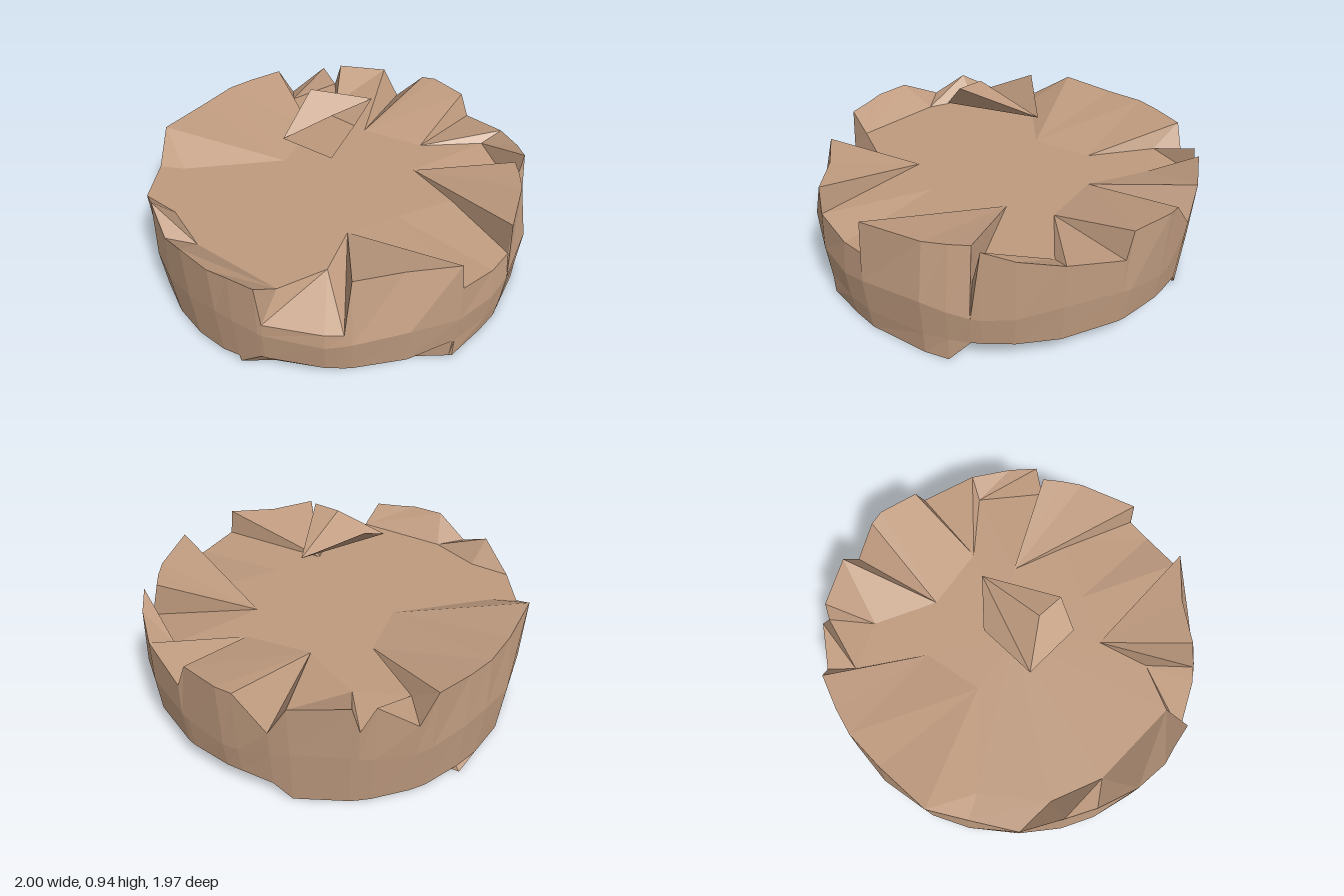
import * as THREE from 'three';

// Points where the rim's wedges run out on the floor
const FLOOR = {
  front: [0.28, 0.29], frontGap: [-0.1, 0.42], frontStep: [0.2, 0.6], tooth: [0.72, 0.47], side: [0.5, 0.2],
  right: [0.45, -0.14], rightNotch: [0.6, -0.45], backNotch: [0.49, -0.69], back: [0.27, -0.38], backMid: [-0.05, -0.33],
  backLeft: [-0.42, -0.72], leftA: [-0.71, -0.5], leftB: [-0.82, -0.24], leftC: [-0.83, 0.25],
  leftGap: [-0.6, 0.36], corner: [-0.34, 0.29],
};

// Rim points round the slab, from the front towards +x:
// [x, z, height, floor point, height of the wall's foot]
const RIM = [
  [0.02, 0.97, 0.61, 'front'], [0.32, 0.88, 0.6, 'front'], [0.42, 0.82, 0.6, 'front'], [0.5, 0.76, 0.6, 'front'],
  [0.51, 0.77, 0.42, 'front'], [0.57, 0.78, 0.61, 'tooth'], [0.69, 0.69, 0.57, 'tooth'],
  [0.83, 0.53, 0.53, 'tooth'], [0.95, 0.26, 0.47, 'side'],
  [0.95, 0.21, 0.6, 'side'], [1, 0, 0.61, 'right'], [0.99, -0.08, 0.6, 'right'],
  [0.97, -0.24, 0.43, 'right', 0.09], [0.95, -0.33, 0.59, 'right', 0], [0.82, -0.57, 0.6, 'rightNotch', 0],
  [0.8, -0.6, 0.47, 'rightNotch', 0], [0.75, -0.65, 0.59, 'backNotch', 0], [0.61, -0.79, 0.44, 'backNotch', 0],
  [0.54, -0.84, 0.6, 'backNotch', 0], [0.36, -0.91, 0.6, 'back', 0.02], [0.22, -0.95, 0.6, 'back', 0.02],
  [0, -0.96, 0.59, 'backMid', 0.02], [-0.31, -0.95, 0.6, 'backMid', 0.01],
  [-0.48, -0.84, 0.48, 'backLeft', 0.02], [-0.7, -0.71, 0.48, 'leftA', 0.07], [-0.82, -0.53, 0.6, 'leftA', 0.05],
  [-0.9, -0.37, 0.51, 'leftB', 0.01], [-0.98, -0.18, 0.6, 'leftB', 0.02], [-1, 0, 0.59, 'leftC', 0.03],
  [-0.98, 0.1, 0.58, 'leftC', 0.05], [-0.96, 0.23, 0.57, 'leftC'],
  [-0.95, 0.25, 0.35, 'leftC'], [-0.83, 0.51, 0.34, 'leftGap'], [-0.78, 0.58, 0.34, 'leftGap'],
  [-0.71, 0.57, 0.61, 'corner'], [-0.52, 0.72, 0.6, 'corner'], [-0.35, 0.91, 0.61, 'corner'],
  [-0.34, 0.92, 0.47, 'corner'], [-0.12, 0.96, 0.43, 'frontGap'], [0.015, 0.97, 0.44, 'frontStep'],
];

// Corners of the flat underside, whose long chords leave undercuts
const BASE = [
  [0.16, 0.96], [0.45, 0.86], [0.36, -0.91], [-0.96, 0.08], [-0.32, 0.92],
];

// Distance from the centre to the underside's edge in direction (dx, dz)
function baseRadius(dx, dz) {
  for (let i = 0; i < BASE.length; i++) {
    const [ax, az] = BASE[i];
    const [bx, bz] = BASE[(i + 1) % BASE.length];
    const ex = bx - ax, ez = bz - az;
    const det = dx * ez - dz * ex;
    const t = (ax * ez - az * ex) / det;
    const u = (ax * dz - az * dx) / det;
    if (t > 0 && u >= -1e-6 && u <= 1 + 1e-6) return t;
  }
  return 0.9;
}

function facetMesh(name, triangles, material) {
  const geometry = new THREE.BufferGeometry();
  geometry.setAttribute('position', new THREE.Float32BufferAttribute(triangles.flat(2), 3));
  geometry.computeVertexNormals();
  const mesh = new THREE.Mesh(geometry, material);
  mesh.name = name;
  return mesh;
}

// One cross-section from underside centre, up the wall, over the rim to the floor centre
function section([x, z, top, floor, foot = 0.115]) {
  const r = Math.hypot(x, z), dx = x / r, dz = z / r;
  const at = (radius, y) => [dx * radius, y, dz * radius];
  const wave = Math.sin(Math.atan2(x, z) * 7);
  const [fx, fz] = FLOOR[floor];
  return [
    [0, 0, 0],
    at(baseRadius(dx, dz), 0),
    at(0.955 + foot * 0.1, foot),
    at(0.985, 0.29 + 0.03 * wave),
    [x, top, z],
    [fx, 0.48, fz],
    [0, 0.48, 0],
  ];
}

export function createModel() {
  const group = new THREE.Group();
  const stone = new THREE.MeshStandardMaterial({ color: 0xbf9b7f, flatShading: true, side: THREE.DoubleSide });
  stone.name = 'tan stone';

  // Broken round slab
  const sections = RIM.map(section);
  const slab = [];
  sections.forEach((a, i) => {
    const b = sections[(i + 1) % sections.length];
    for (let k = 0; k < a.length - 1; k++) {
      if (k > 0) slab.push([a[k], b[k], b[k + 1]]);
      if (k < a.length - 2) slab.push([a[k], b[k + 1], a[k + 1]]);
    }
  });
  group.add(facetMesh('slab', slab, stone));

  // Loose shard floating above the floor
  const A = [-0.25, 0.8, -0.16], B = [0.02, 0.94, -0.19], C = [0.25, 0.85, 0.03];
  const D = [-0.13, 0.94, 0.18], E = [-0.26, 0.81, 0.14], F = [-0.12, 0.94, 0.04];
  group.add(facetMesh('shard', [
    [A, E, F], [E, D, F], [F, D, C], [A, F, C], // top
    [A, C, B], // raised flap
    [A, C, E], [E, C, D], // underside
  ], stone));

  return group;
}
